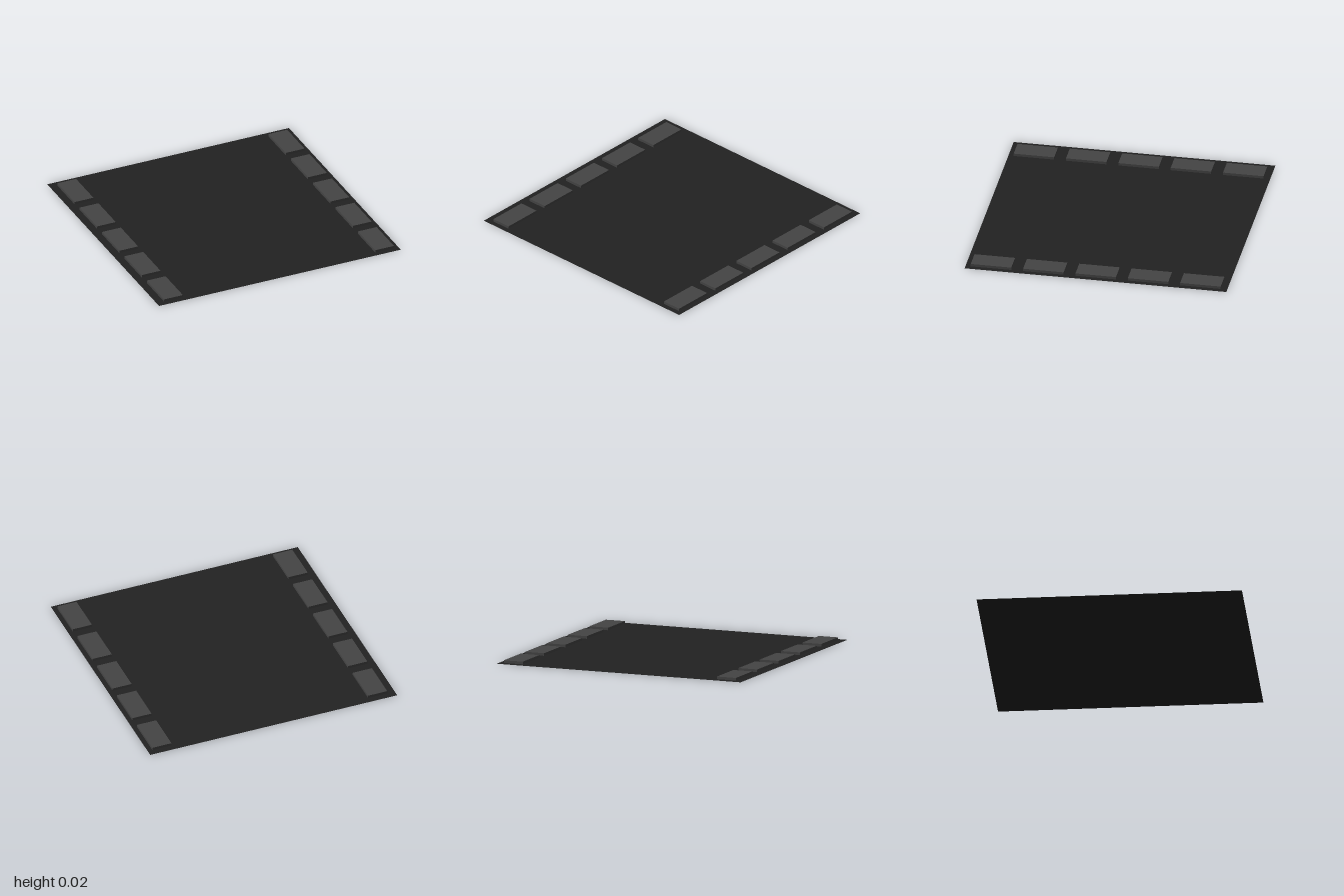
import * as THREE from 'three';

export function createModel() {
  const group = new THREE.Group();
  const asphalt = new THREE.MeshStandardMaterial({ color: 0x222222, side: THREE.DoubleSide });
  asphalt.name = 'dark asphalt';
  const slab = new THREE.MeshStandardMaterial({ color: 0x444444 });
  slab.name = 'grey slab';

  // Flat square ground sheet
  const ground = new THREE.Mesh(new THREE.PlaneGeometry(2, 2).rotateX(-Math.PI / 2), asphalt);
  ground.name = 'groundSheet';
  group.add(ground);

  // Two rows of five low slabs along the side edges
  const slabGeometry = new THREE.BoxGeometry(0.155, 0.02, 0.31);
  for (const [side, x] of [['right', -0.862], ['left', 0.885]]) {
    for (let i = 0; i < 5; i++) {
      const mesh = new THREE.Mesh(slabGeometry, slab);
      mesh.name = `${side}Slab${i + 1}`;
      mesh.position.set(x, 0.011, -0.795 + i * 0.4);
      group.add(mesh);
    }
  }
  return group;
}
